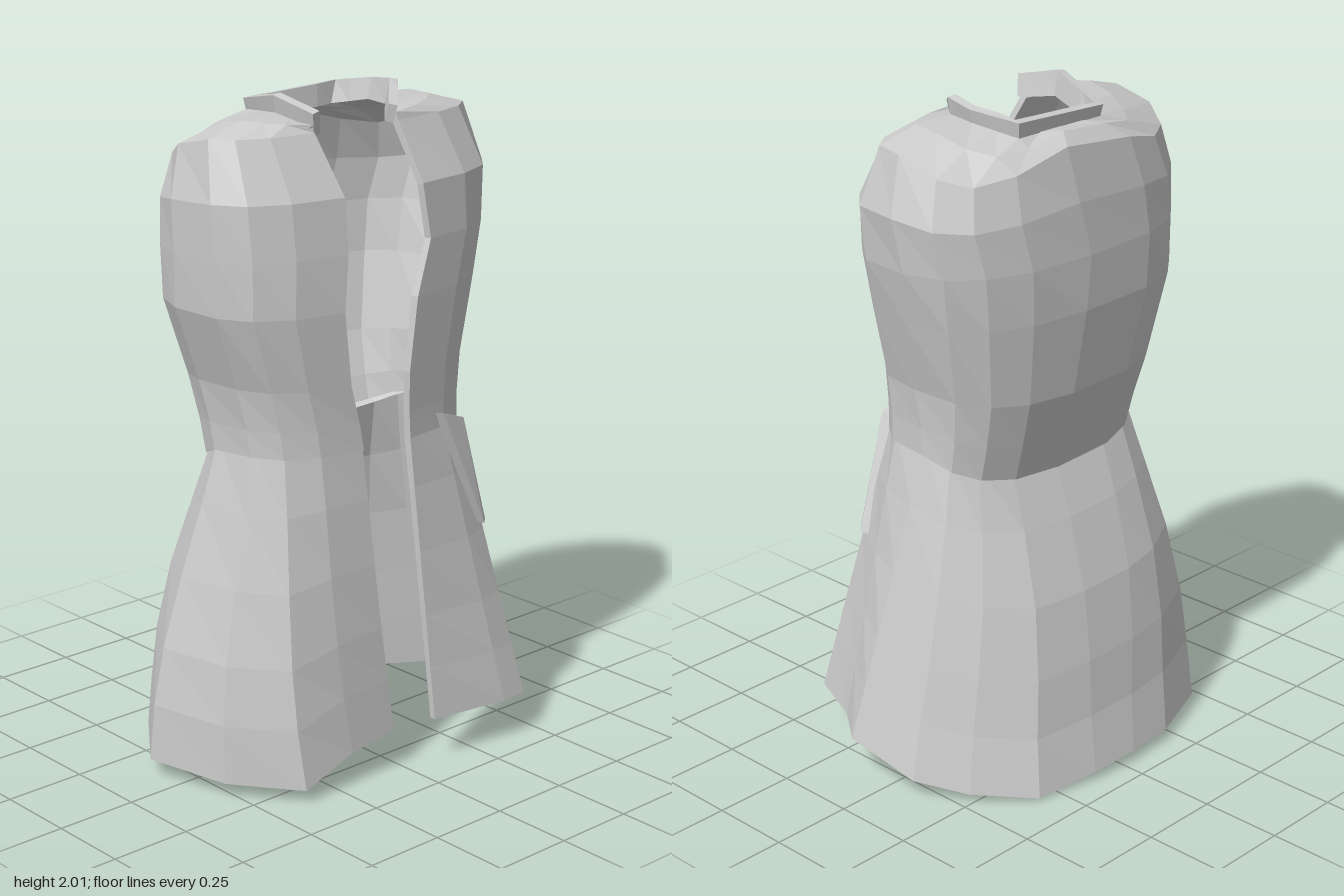
import * as THREE from 'three';

const COLS = 16; // segments round the body, from the right front edge to the left one
const V = (x, y, z) => new THREE.Vector3(x, y, z);
const material = () => new THREE.MeshStandardMaterial({ color: 0xcccccc, flatShading: true });

// Turns stacked rings of points (bottom to top) into a cloth shell with thickness
function shell(name, rings, thickness) {
  const w = rings[0].length, n = w * rings.length, top = rings.length - 1;
  const outer = rings.flat(), quads = [], idx = [];
  const at = (r, c) => r * w + c;
  const quad = (a, b, c, d) => idx.push(a, b, c, a, c, d);
  for (let r = 0; r < top; r++)
    for (let c = 0; c < w - 1; c++) quads.push([at(r, c), at(r + 1, c), at(r + 1, c + 1), at(r, c + 1)]);
  quads.forEach(q => quad(...q));

  const geo = new THREE.BufferGeometry().setFromPoints(outer);
  geo.setIndex(idx.slice());
  geo.computeVertexNormals();
  const inner = outer.map((p, i) =>
    p.clone().addScaledVector(V(0, 0, 0).fromBufferAttribute(geo.attributes.normal, i), -thickness));

  // lining, then the rims at the hem, top and both front edges
  quads.forEach(([a, b, c, d]) => quad(d + n, c + n, b + n, a + n));
  for (let c = 0; c < w - 1; c++) {
    const a = at(0, c), b = at(top, c);
    quad(a, a + 1, a + 1 + n, a + n);
    quad(b + n, b + 1 + n, b + 1, b);
  }
  for (let r = 0; r < top; r++) {
    const a = at(r, 0), b = at(r + 1, 0), c = at(r, w - 1), d = at(r + 1, w - 1);
    quad(a, a + n, b + n, b);
    quad(d, d + n, c + n, c);
  }
  const full = new THREE.BufferGeometry().setFromPoints([...outer, ...inner]);
  full.setIndex(idx);
  const flat = full.toNonIndexed();
  flat.computeVertexNormals();
  const mesh = new THREE.Mesh(flat, material());
  mesh.name = name;
  return mesh;
}

// Open rounded-box ring between the two front edges.
// sag lowers the middle of the back, dip lowers its two corners
function bodyRing([y, xMin, xMax, zFront, zBack, edgeR, edgeL, sag = 0, dip = 0]) {
  const p = 0.73, cz = 0.03, cx = (xMin + xMax) / 2, a = (xMax - xMin) / 2;
  const power = (v, e) => Math.sign(v) * Math.abs(v) ** e;
  const edgeAngle = x => Math.acos(power((x - cx) / a, 1 / p));
  const start = edgeAngle(edgeR), end = edgeAngle(edgeL) + Math.PI * 2;
  return Array.from({ length: COLS + 1 }, (_, i) => {
    const t = start + (end - start) * i / COLS, s = -Math.sin(t), back = Math.max(0, s);
    const depth = s > 0 ? cz - zBack : zFront - cz;
    const drop = sag * back + dip * (back > 0 ? Math.abs(Math.sin(2 * t)) : 0);
    return V(cx + a * power(Math.cos(t), p), y - drop, cz - depth * power(s, p));
  });
}

// Neck polygon: [column, x, z, base y, collar top y]
const NECK = [
  [0, -0.22, 0.2, 1.925, 1.965], [3, -0.235, 0.06, 1.95, 2.0], [6, -0.16, -0.15, 1.925, 1.955],
  [10, 0.165, -0.15, 1.925, 1.968], [12, 0.205, -0.01, 1.95, 1.988], [13, 0.185, 0.09, 1.95, 2.0],
  [16, 0.085, 0.195, 1.925, 1.95],
];
function neckRing(h, lift = 0, flare = 1) {
  return Array.from({ length: COLS + 1 }, (_, i) => {
    const k = Math.max(1, NECK.findIndex(q => q[0] >= i));
    const a = NECK[k - 1], b = NECK[k], t = (i - a[0]) / (b[0] - a[0]);
    const mix = j => a[j] + (b[j] - a[j]) * t;
    return V(mix(1) * flare, mix(h) + lift, mix(2) * flare);
  });
}

export function createModel() {
  const coat = new THREE.Group();
  coat.name = 'sleevelessCoat';

  // Skirt: uneven hem blended up to the waist, fuller at the back and low on the right
  const hem = [
    [-0.03, 0.12, 0.34], [-0.2, 0.1, 0.345], [-0.38, 0.035, 0.345], [-0.53, 0.04, 0.16],
    [-0.6, 0.05, -0.1], [-0.42, 0.04, -0.34], [-0.2, 0.035, -0.42], [-0.04, 0.03, -0.43],
    [0.12, 0.02, -0.42], [0.32, 0, -0.38], [0.47, 0.02, -0.24], [0.565, 0.05, -0.1],
    [0.6, 0.12, 0.12], [0.52, 0.13, 0.23], [0.44, 0.13, 0.42], [0.35, 0.13, 0.425], [0.09, 0.135, 0.39],
  ].map(p => V(...p));
  const waist = bodyRing([1.03, -0.405, 0.38, 0.3, -0.15, -0.125, 0.06, 0.07]);
  const skirt = [0, 0.18, 0.36, 0.58, 0.8, 1].map(t => hem.map((p, i) => {
    const q = p.clone().lerp(waist[i], t), swell = Math.sin(Math.PI * t);
    if (q.x < 0) q.x *= 1 + 0.11 * (1 - t) * swell;
    if (q.z < 0) q.z *= 1 + 0.38 * t * swell;
    return q;
  }));
  coat.add(shell('skirt', skirt, 0.022));

  // Bodice: y, x range, front z, back z, right edge x, left edge x, back sag, corner dip
  const bodice = [
    [1.0, -0.415, 0.39, 0.31, -0.18, -0.125, 0.055, 0.09],
    [1.08, -0.42, 0.39, 0.31, -0.215, -0.14, 0.05, 0.05],
    [1.2, -0.44, 0.4, 0.315, -0.26, -0.175, 0.045, 0.03],
    [1.42, -0.52, 0.455, 0.32, -0.287, -0.205, 0.07],
    [1.58, -0.53, 0.49, 0.315, -0.285, -0.19, 0.125],
    [1.74, -0.535, 0.51, 0.3, -0.27, -0.19, 0.105, 0, 0.03],
    [1.91, -0.5, 0.465, 0.21, -0.24, -0.22, 0.09, 0, 0.08],
  ].map(bodyRing);
  const neck = neckRing(3);
  const shoulder = bodice.at(-1).map((p, i) => p.clone().lerp(neck[i], 0.5).add(V(0, 0.015, 0)));
  coat.add(shell('bodice', [...bodice, shoulder, neck], 0.022));

  // Low standing collar, leaning outward
  coat.add(shell('collar', [neckRing(3, -0.025), neckRing(4, 0, 1.06)], 0.026));

  // Slanted welt on the left front
  const welt = [[0.18, 1.05, 0.32], [0.27, 1.02, 0.31], [0.39, 0.67, 0.29], [0.34, 0.68, 0.335]];
  const outline = [...welt].reverse().map(p => V(...p));
  const corners = [...outline, ...outline.map(p => p.clone().add(V(-0.02, 0, -0.07)))];
  const geo = new THREE.BufferGeometry().setFromPoints(corners);
  const faces = [0, 1, 2, 0, 2, 3];
  for (let i = 0; i < 4; i++) {
    const j = (i + 1) % 4;
    faces.push(i, i + 4, j + 4, i, j + 4, j);
  }
  geo.setIndex(faces);
  const weltGeo = geo.toNonIndexed();
  weltGeo.computeVertexNormals();
  const pocket = new THREE.Mesh(weltGeo, material());
  pocket.material.side = THREE.DoubleSide;
  pocket.name = 'pocketWelt';
  coat.add(pocket);

  return coat;
}
